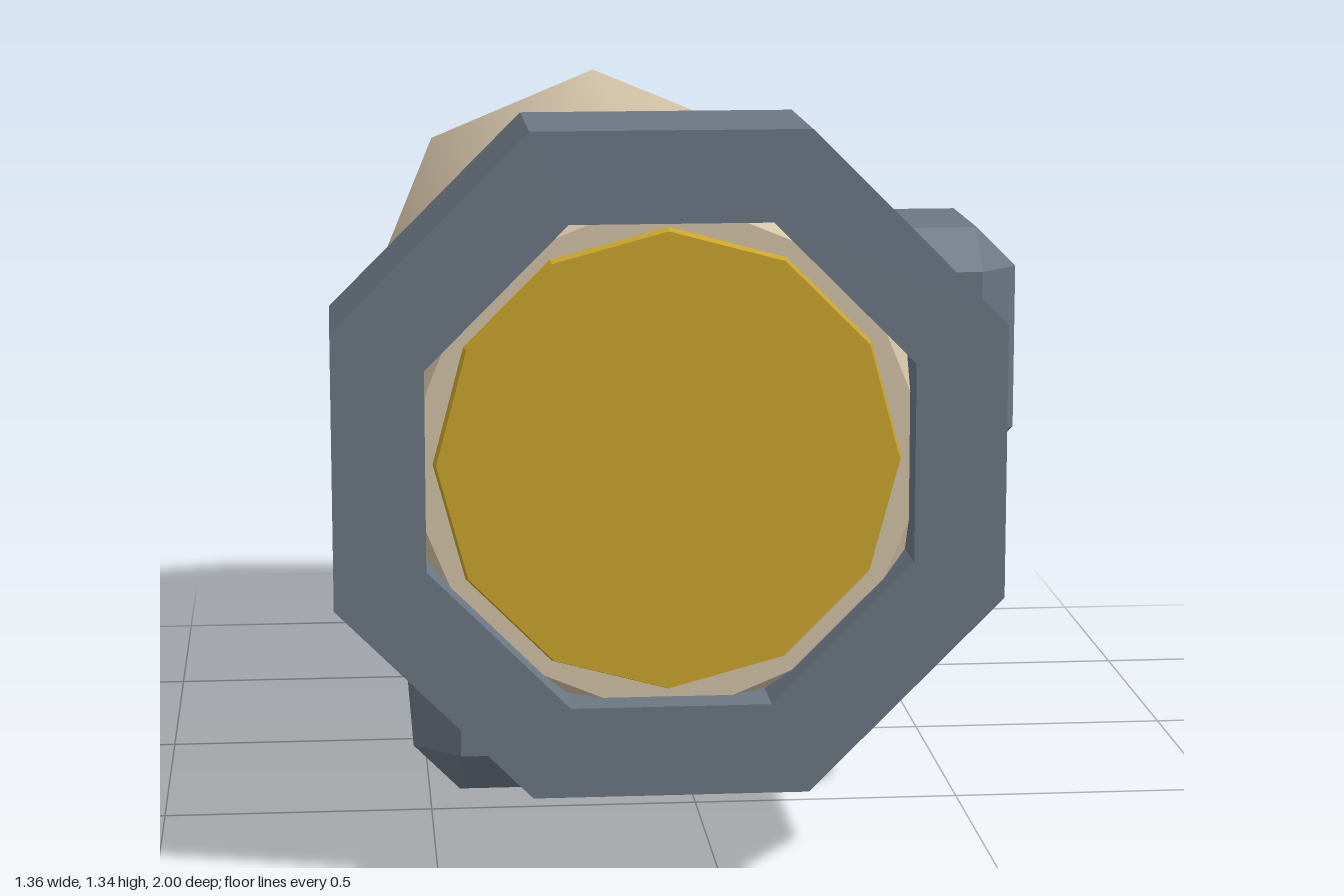
import * as THREE from 'three';
import { ConvexGeometry } from 'three/addons/geometries/ConvexGeometry.js';

const CX = -0.09, CY = 0.75; // axis of the tube

const mat = (name, color, opts = {}) => {
  const m = new THREE.MeshStandardMaterial({ color, ...opts });
  m.name = name;
  return m;
};

// Regular octagon with flat sides, given the distance from centre to side
function octagon(target, apothem) {
  const r = apothem / Math.cos(Math.PI / 8);
  const pts = [];
  for (let i = 0; i < 8; i++) {
    const a = Math.PI / 8 + i * Math.PI / 4;
    pts.push(new THREE.Vector2(r * Math.cos(a), r * Math.sin(a)));
  }
  return target.setFromPoints(pts);
}

// Box with every edge cut at 45 degrees
function chamferBox(min, max, c) {
  const pts = [];
  const mid = min.map((v, i) => (v + max[i]) / 2);
  const half = min.map((v, i) => (max[i] - v) / 2);
  for (const sx of [-1, 1]) for (const sy of [-1, 1]) for (const sz of [-1, 1]) {
    const s = [sx, sy, sz];
    for (let full = 0; full < 3; full++) {
      const p = s.map((k, i) => mid[i] + k * (half[i] - (i === full ? 0 : c)));
      pts.push(new THREE.Vector3(...p));
    }
  }
  return new ConvexGeometry(pts);
}

// Cylinder wall along z, radius r0 at z0 and r1 at z1 (z1 > z0)
function wall(r0, r1, z0, z1, sides, flat) {
  let g = new THREE.CylinderGeometry(r1, r0, z1 - z0, sides, 1, true);
  g.rotateX(Math.PI / 2);
  g.translate(CX, CY, (z0 + z1) / 2);
  if (flat) {
    g = g.toNonIndexed();
    g.computeVertexNormals();
  }
  return g;
}

// Flat end disc facing +z or -z
function disc(r, z, sides, back) {
  const g = new THREE.CircleGeometry(r, sides);
  if (back) g.rotateY(Math.PI);
  g.translate(CX, CY, z);
  return g;
}

export function createModel() {
  const model = new THREE.Group();
  model.name = 'tubeSight';
  const steel = mat('blueGrey', 0x6b7783);
  const tan = mat('tan', 0xd2c2a7);
  const gold = mat('gold', 0xc9a42b);

  const add = (name, geometry, material, parent = model) => {
    const mesh = new THREE.Mesh(geometry, material);
    mesh.name = name;
    parent.add(mesh);
    return mesh;
  };

  // Eight-sided tube: smooth wall, chamfered ends
  const tube = new THREE.Group();
  tube.name = 'tube';
  model.add(tube);
  add('tubeWall', wall(0.505, 0.505, -0.95, 0.88, 8, false), tan, tube);
  add('backChamfer', wall(0.475, 0.505, -1, -0.95, 8, true), tan, tube);
  add('frontChamfer', wall(0.505, 0.475, 0.88, 0.93, 8, true), tan, tube);
  add('backCap', disc(0.475, -1, 8, true), tan, tube);
  add('frontCap', disc(0.475, 0.93, 8, false), tan, tube);

  // Lens plate with a thin sloped edge
  const lens = new THREE.Group();
  lens.name = 'lens';
  model.add(lens);
  add('lensEdge', wall(0.415, 0.407, 0.92, 0.95, 12, true), gold, lens);
  add('lensFace', disc(0.407, 0.95, 12, false), gold, lens);

  // Octagonal front ring
  const ringShape = octagon(new THREE.Shape(), 0.588);
  ringShape.holes.push(octagon(new THREE.Path(), 0.427));
  const ring = new THREE.ExtrudeGeometry(ringShape, { depth: 0.31, bevelEnabled: false });
  ring.translate(CX, CY, 0.69);
  add('frontRing', ring, steel);

  // Mounting base under the tube and adjustment knob on its side
  add('mountBase', chamferBox([-0.53, 0, -0.69], [0.345, 0.45, 0.455], 0.088), steel);
  add('sideKnob', chamferBox([0.285, 0.555, -0.295], [0.677, 1.035, 0.145], 0.078), steel);

  return model;
}
